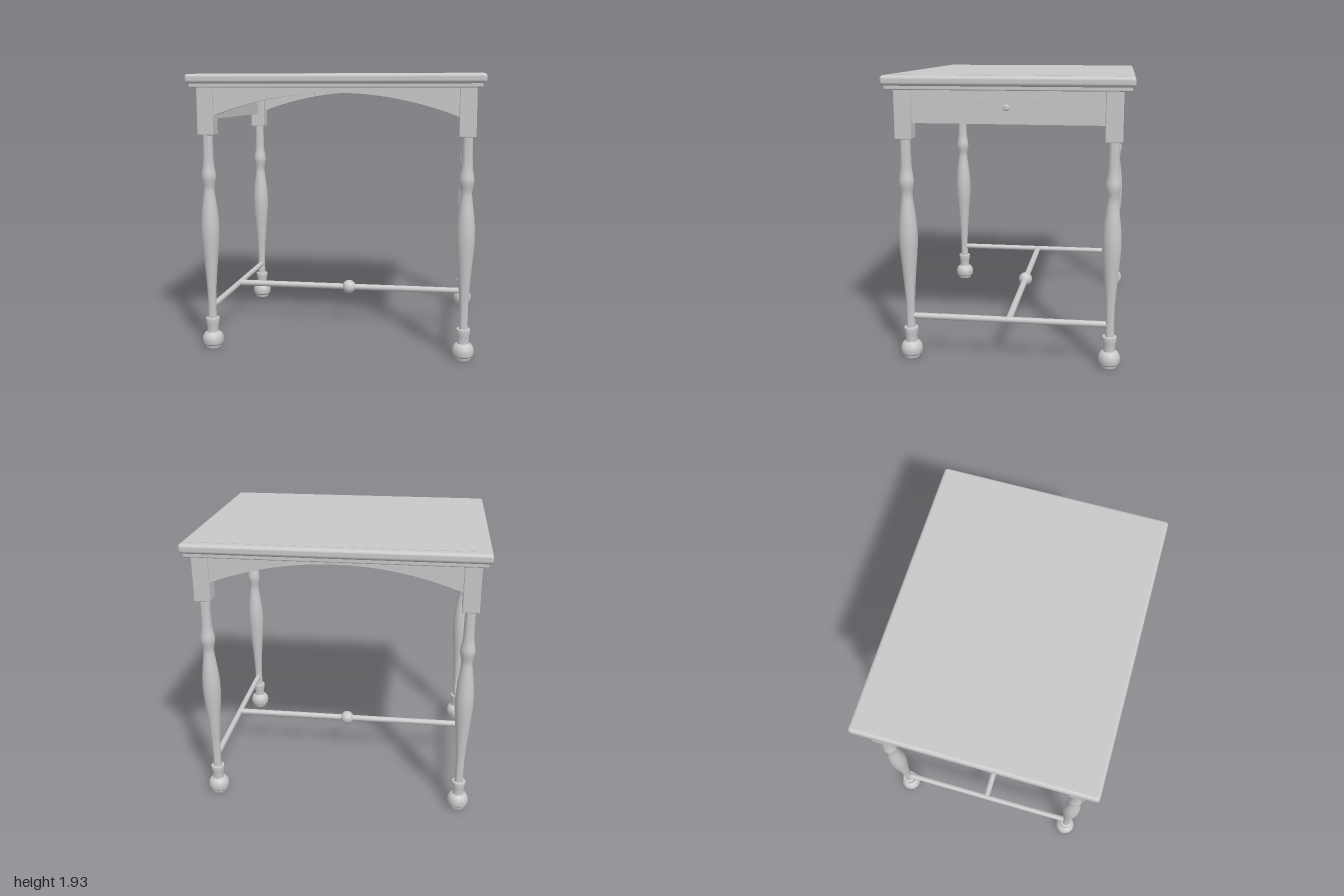
import * as THREE from 'three';
import { toCreasedNormals } from 'three/addons/utils/BufferGeometryUtils.js';
import { RoundedBoxGeometry } from 'three/addons/geometries/RoundedBoxGeometry.js';

const LEG_X = 0.885, LEG_Z = 0.678, RAIL_Y = 0.295;

export function createModel() {
  const table = new THREE.Group();
  table.name = 'table';
  const paint = new THREE.MeshStandardMaterial({ color: 0xc8c8c8 });
  paint.name = 'plain grey';

  const add = (name, geometry, x = 0, y = 0, z = 0, parent = table) => {
    const mesh = new THREE.Mesh(geometry, paint);
    mesh.name = name;
    mesh.position.set(x, y, z);
    parent.add(mesh);
    return mesh;
  };
  const box = (w, h, d) => new THREE.BoxGeometry(w, h, d);

  // Top: rounded slab, faint inset field, and moulding below
  add('tableTop', new RoundedBoxGeometry(2, 0.066, 1.61, 4, 0.024), 0, 1.894, 0);
  add('topField', box(1.88, 0.004, 1.5), 0, 1.9265, 0);
  add('topMoulding', new RoundedBoxGeometry(1.95, 0.034, 1.57, 2, 0.008), 0, 1.852, 0);

  // Turned leg profile: smooth shaft, then collar and bun foot
  const shaft = new THREE.SplineCurve([
    [0.03, 0.215], [0.029, 0.3], [0.032, 0.42], [0.045, 0.6], [0.059, 0.76], [0.063, 0.87],
    [0.056, 0.98], [0.042, 1.09], [0.038, 1.15], [0.049, 1.21], [0.049, 1.245],
    [0.039, 1.31], [0.036, 1.4], [0.035, 1.53],
  ].map(([r, y]) => new THREE.Vector2(r, y))).getPoints(52);
  const foot = [
    [0, 0], [0.052, 0], [0.056, 0.018], [0.07, 0.03], [0.075, 0.055], [0.071, 0.082],
    [0.058, 0.103], [0.04, 0.113], [0.039, 0.13], [0.042, 0.165], [0.049, 0.2], [0.047, 0.213],
  ].map(([r, y]) => new THREE.Vector2(r, y));
  const legGeometry = toCreasedNormals(new THREE.LatheGeometry([...foot, ...shaft], 24), 0.6);
  const postGeometry = new RoundedBoxGeometry(0.112, 0.325, 0.112, 2, 0.006);

  for (const sx of [-1, 1]) {
    for (const sz of [-1, 1]) {
      const leg = new THREE.Group();
      leg.name = 'leg';
      leg.position.set(sx * LEG_X, 0, sz * LEG_Z);
      add('turnedShaft', legGeometry, 0, 0, 0, leg);
      add('squarePost', postGeometry, 0, 1.677, 0, leg);
      table.add(leg);
    }
  }

  // Arched aprons at the front and back
  const arch = new THREE.Shape();
  arch.moveTo(-0.84, 1.84);
  arch.lineTo(-0.84, 1.642);
  const rise = 0.16, radius = (0.84 ** 2 + rise ** 2) / (2 * rise);
  const half = Math.asin(0.84 / radius);
  arch.absarc(0, 1.802 - radius, radius, Math.PI / 2 + half, Math.PI / 2 - half, true);
  arch.lineTo(0.84, 1.84);
  const archGeometry = toCreasedNormals(
    new THREE.ExtrudeGeometry(arch, { depth: 0.04, bevelEnabled: false, curveSegments: 32 }), 0.6);
  for (const z of [0.675, -0.715]) add('archedApron', archGeometry, 0, 0, z);

  // Side aprons with drawer front and knob
  const knob = toCreasedNormals(new THREE.LatheGeometry([
    [0.009, 0], [0.009, 0.012], [0.021, 0.018], [0.021, 0.026], [0.014, 0.032], [0, 0.033],
  ].map(([r, y]) => new THREE.Vector2(r, y)), 12), 0.6);
  for (const s of [-1, 1]) {
    add('sideApron', box(0.04, 0.22, 1.27), s * 0.9, 1.73, 0);
    add('drawerFront', box(0.012, 0.126, 0.69), s * 0.92, 1.727, 0);
    add('drawerKnob', knob, s * 0.924, 1.727, 0).rotation.z = -s * Math.PI / 2;
    // Side stretchers run between front and back legs
    add('sideStretcher', new THREE.CylinderGeometry(0.021, 0.021, LEG_Z * 2, 16), s * LEG_X, RAIL_Y, 0)
      .rotation.x = Math.PI / 2;
  }

  // Centre stretcher with ball
  add('centreStretcher', new THREE.CylinderGeometry(0.023, 0.023, LEG_X * 2, 16), 0, RAIL_Y, 0)
    .rotation.z = Math.PI / 2;
  add('stretcherBall', new THREE.SphereGeometry(0.052, 24, 16), 0, RAIL_Y, 0);

  return table;
}
